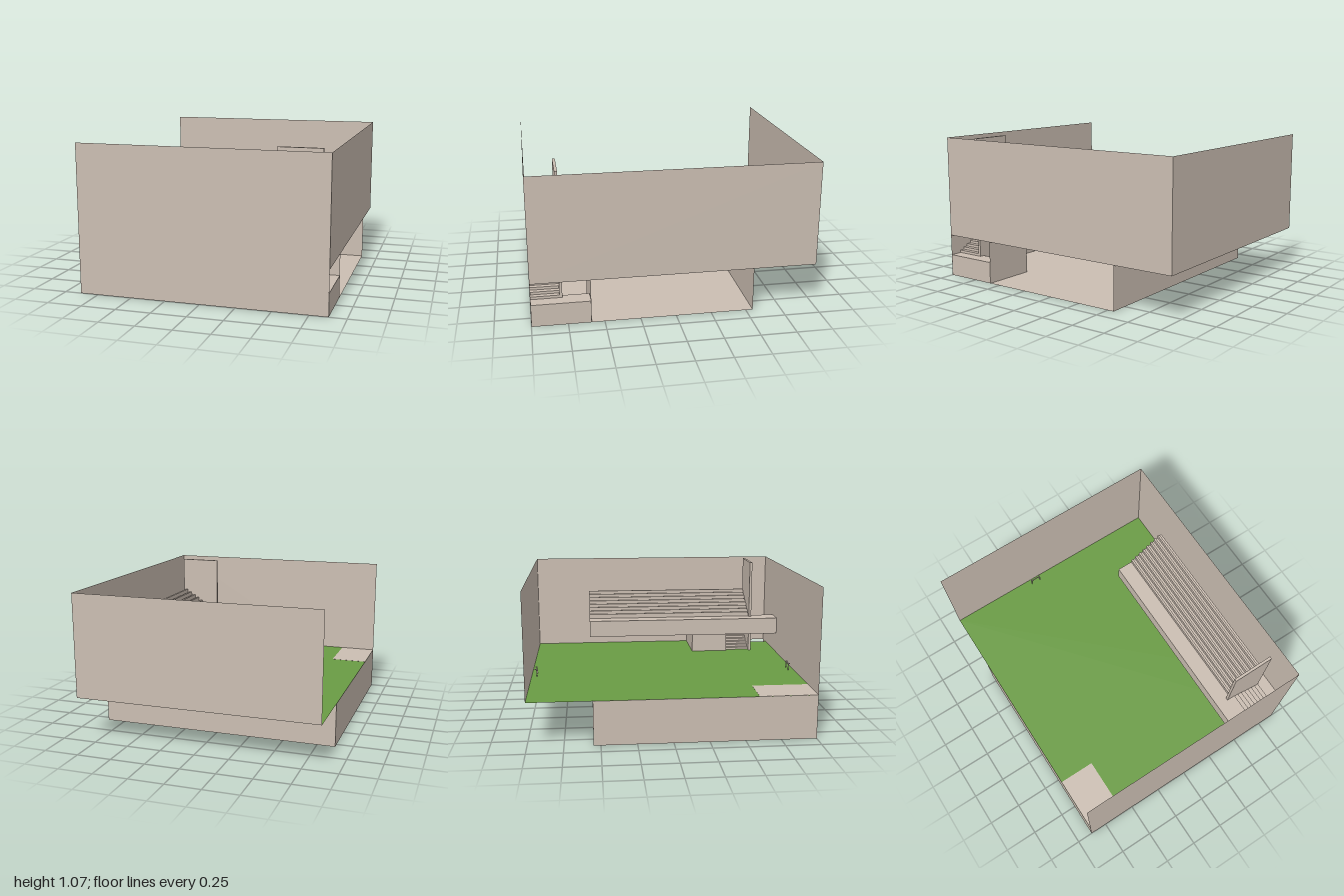
import * as THREE from 'three';

export function createModel() {
  const model = new THREE.Group();
  const wallMat = new THREE.MeshStandardMaterial({ color: 0xcbbeb2, side: THREE.DoubleSide });
  const courtMat = new THREE.MeshStandardMaterial({ color: 0x6a9c44, side: THREE.DoubleSide });

  const X = 0.88, FLOOR = 0.315, TOP = 1.065, BASE_BACK = -0.55;
  const LANDING = 0.16, DECK = 0.605, STAIR_LOW = 0.79, STAIR_HIGH = 0.51;

  function add(name, geometry, material = wallMat, parent = model) {
    const mesh = new THREE.Mesh(geometry, material);
    mesh.name = name;
    parent.add(mesh);
    return mesh;
  }
  // Box given by its limits on each axis
  function block(name, x0, x1, y0, y1, z0, z1, parent = model) {
    const g = new THREE.BoxGeometry(x1 - x0, y1 - y0, z1 - z0);
    g.translate((x0 + x1) / 2, (y0 + y1) / 2, (z0 + z1) / 2);
    return add(name, g, wallMat, parent);
  }
  // Thin walls: facing along z, facing along x, and level
  function wallZ(name, x0, x1, y0, y1, z) {
    add(name, new THREE.PlaneGeometry(x1 - x0, y1 - y0).translate((x0 + x1) / 2, (y0 + y1) / 2, z));
  }
  function wallX(name, z0, z1, y0, y1, x) {
    add(name, new THREE.PlaneGeometry(z1 - z0, y1 - y0).rotateY(Math.PI / 2)
      .translate(x, (y0 + y1) / 2, (z0 + z1) / 2));
  }
  // Profile in x and y, extruded between two z values
  function prism(name, points, z0, z1) {
    const shape = new THREE.Shape(points.map(([x, y]) => new THREE.Vector2(x, y)));
    add(name, new THREE.ExtrudeGeometry(shape, { depth: z1 - z0, bevelEnabled: false }).translate(0, 0, z0));
  }
  // Outline of the treads and risers
  function steps(x0, y0, x1, y1, n) {
    const pts = [[x0, y0]];
    for (let i = 0; i < n; i++) {
      const y = y0 + (y1 - y0) * (i + 1) / n;
      pts.push([x0 + (x1 - x0) * i / n, y], [x0 + (x1 - x0) * (i + 1) / n, y]);
    }
    return pts;
  }
  function flight(name, x0, y0, x1, y1, z0, z1) {
    const t = 0.03;
    prism(name, [...steps(x0, y0, x1, y1, 8), [x1, y1 - t], [x0, Math.max(0, y0 - t) - 0.0005]], z0, z1);
  }

  // Hall walls
  wallZ('frontWall', -X, X, 0, TOP, 1);
  wallZ('backWall', -X, X, FLOOR, TOP, -1);
  wallX('sideWall', -1, 1, FLOOR, TOP, X);

  // Basement, open on one side
  wallZ('basementBackWall', -X, X, 0, FLOOR, BASE_BACK);
  wallX('basementSideWall', BASE_BACK, 1, 0, FLOOR, -X);
  add('basementFloor', new THREE.PlaneGeometry(2 * X, 1 - BASE_BACK).rotateX(-Math.PI / 2)
    .translate(0, 0, (1 + BASE_BACK) / 2));
  block('basementDoor', -X, -X + 0.01, 0, 0.165, -0.36, -0.19);
  block('cornerRoom', -X + 0.001, -0.61, 0.001, FLOOR + 0.001, 0.59, 0.999);

  // Playing floor, cut away for the support block and stair landing
  const court = new THREE.Shape([
    [-X, 1], [-X, -1], [X, -1], [X, 0.3], [0.48, 0.3], [0.48, 0.59], [STAIR_LOW, 0.59], [STAIR_LOW, 1],
  ].map(([x, z]) => new THREE.Vector2(x, -z)));
  add('court', new THREE.ShapeGeometry(court).rotateX(-Math.PI / 2).translate(0, FLOOR, 0), courtMat);

  // Switchback stairs around a tall spine wall
  block('stairSpine', 0.48, STAIR_LOW, 0, TOP - 0.003, 0.78, 0.8);
  wallZ('stairSideWall', 0.48, X, 0, FLOOR, 0.59);
  block('lowerLanding', STAIR_LOW, X, 0, LANDING, 0.591, 0.999);
  block('upperLanding', STAIR_LOW, X - 0.001, 0.43, 0.46, 0.59, 0.999);
  flight('basementFlight', STAIR_HIGH, 0, STAIR_LOW, LANDING, 0.592, 0.78);
  flight('courtFlight', STAIR_LOW, LANDING, STAIR_HIGH, FLOOR - 0.002, 0.8, 0.999);
  flight('hallFlight', STAIR_HIGH, FLOOR, STAIR_LOW, 0.46, 0.59, 0.78);
  flight('deckFlight', STAIR_LOW, 0.46, STAIR_HIGH, DECK, 0.8, 0.999);

  // Spectator stand: deck, stepped rows, benches and support
  block('deck', 0.39, STAIR_HIGH, 0.475, DECK, -0.56, 0.999);
  const rows = 8, standTop = 0.785;
  prism('standRows', [
    ...steps(STAIR_HIGH, DECK, STAIR_LOW, standTop, rows), [STAIR_LOW, standTop - 0.12], [STAIR_HIGH, 0.475],
  ], -0.56, 0.78);
  const run = (STAIR_LOW - STAIR_HIGH) / rows, rise = (standTop - DECK) / rows;
  for (let i = 0; i < rows; i++) {
    const x = STAIR_HIGH + run * i, y = DECK + rise * (i + 1);
    block('bench', x, x + 0.016, y, y + 0.012, -0.56, 0.775);
  }
  block('standSupport', 0.48, X - 0.001, FLOOR, 0.475, 0.3, 0.59);

  // Goals at both ends
  for (const [z, dir] of [[0.955, 1], [-0.962, -1]]) {
    const goal = new THREE.Group();
    goal.name = 'goal';
    const t = 0.006, x0 = -0.212, x1 = -0.132, h = FLOOR + 0.055;
    for (const x of [x0, x1 - t]) {
      block('goalPost', x, x + t, FLOOR, h, z - t / 2, z + t / 2, goal);
      const back = z + dir * 0.014;
      block('goalStay', x, x + t, h - t, h, Math.min(z, back), Math.max(z, back), goal);
    }
    block('crossbar', x0, x1, h - t, h, z - t / 2, z + t / 2, goal);
    model.add(goal);
  }
  return model;
}
